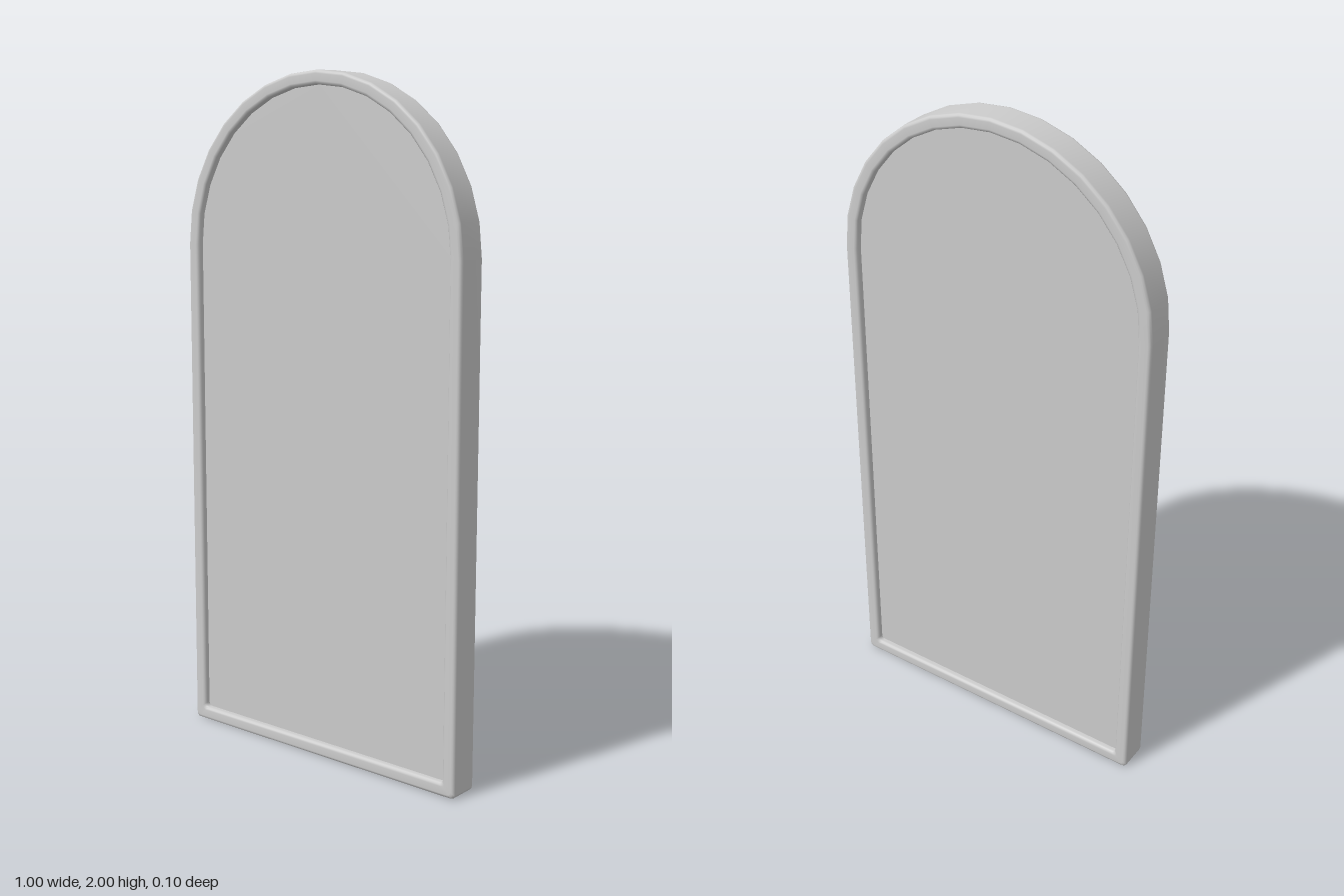
import * as THREE from 'three';

const HALF = 0.5, SPRING = 1.5, DEPTH = 0.05, BORDER = 0.04, RECESS = 0.03, FILLET = 0.01;

// Arched outline, inset by d, counter-clockwise seen from the front
function outline(d) {
  const r = HALF - d, c = 0.012, pts = [];
  const arc = (x, y, rad, from, to, n) => {
    for (let i = 0; i <= n; i++) {
      const a = from + (to - from) * i / n;
      pts.push(new THREE.Vector2(x + rad * Math.cos(a), y + rad * Math.sin(a)));
    }
  };
  arc(-r + c, d + c, c, Math.PI, Math.PI * 1.5, 3);
  arc(r - c, d + c, c, -Math.PI / 2, 0, 3);
  arc(0, SPRING, r, 0, Math.PI, 16);
  return pts;
}

// Frame cross-section as [inset, z], from the front recess round to the back recess
function frameProfile() {
  const front = [[BORDER, RECESS]];
  for (const [cx, from, to] of [[BORDER - FILLET, 0, 90], [FILLET, 90, 180]]) {
    for (let i = 0; i <= 3; i++) {
      const a = THREE.MathUtils.degToRad(from + (to - from) * i / 3);
      front.push([cx + FILLET * Math.cos(a), DEPTH - FILLET + FILLET * Math.sin(a)]);
    }
  }
  return [...front, ...front.map(([d, z]) => [d, -z]).reverse()];
}

// Sweep the cross-section round the arch
function frameGeometry() {
  const position = [], index = [], profile = frameProfile();
  const n = outline(0).length;
  profile.forEach(([d, z], i) => {
    outline(d).forEach((p) => position.push(p.x, p.y, z));
    if (i === profile.length - 1) return;
    for (let j = 0; j < n; j++) {
      const a = i * n + j, b = i * n + (j + 1) % n;
      index.push(a, a + n, b, b, a + n, b + n);
    }
  });
  const geo = new THREE.BufferGeometry();
  geo.setAttribute('position', new THREE.Float32BufferAttribute(position, 3));
  geo.setIndex(index);
  geo.computeVertexNormals();
  return geo;
}

export function createModel() {
  const group = new THREE.Group();
  group.name = 'archedPanel';
  const grey = new THREE.MeshStandardMaterial({ color: 0xcccccc });
  grey.name = 'light grey';

  const frame = new THREE.Mesh(frameGeometry(), grey);
  frame.name = 'frame';
  group.add(frame);

  // Recessed flat faces on both sides
  const panelGeo = new THREE.ShapeGeometry(new THREE.Shape(outline(BORDER)));
  for (const [name, z, turn] of [['frontPanel', RECESS, 0], ['backPanel', -RECESS, Math.PI]]) {
    const panel = new THREE.Mesh(panelGeo, grey);
    panel.name = name;
    panel.position.z = z;
    panel.rotation.y = turn;
    group.add(panel);
  }
  return group;
}
